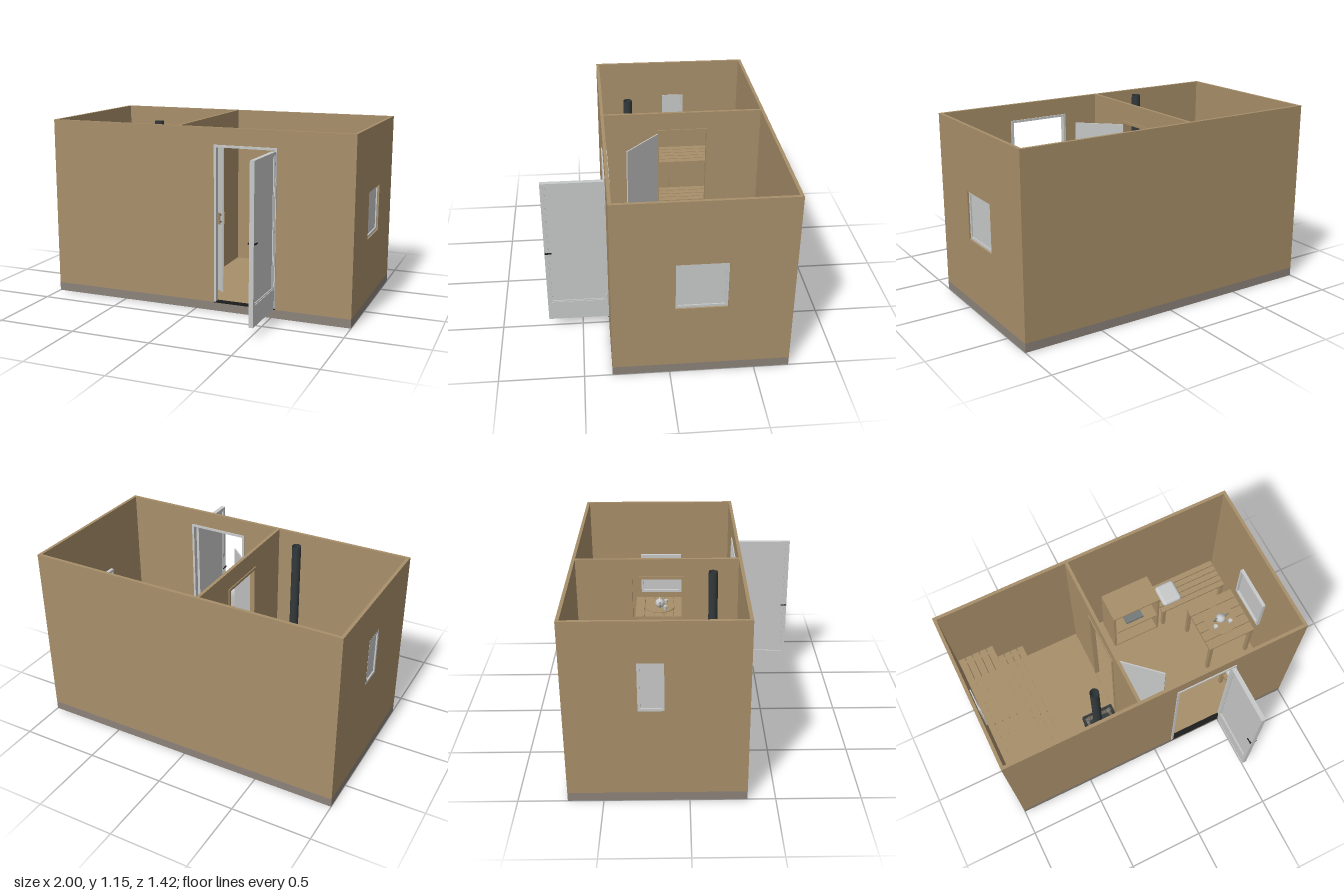
import * as THREE from 'three';
import { RoundedBoxGeometry } from 'three/addons/geometries/RoundedBoxGeometry.js';

const mat = (name, color, side = THREE.FrontSide) => {
  const m = new THREE.MeshStandardMaterial({ color, side });
  m.name = name;
  return m;
};

export function createModel() {
  const wood = mat('wood', 0xa88f6a);
  const concrete = mat('concrete', 0x8c837a);
  const white = mat('paleGrey', 0xc8cac9);
  const dark = mat('darkMetal', 0x33393b);
  const black = mat('black', 0x1c1d1d);
  const stone = mat('stone', 0x6f665a);
  const grey = mat('grey', 0x747b79);
  const root = new THREE.Group();
  root.name = 'saunaCabin';

  const group = (name, parent = root) => {
    const g = new THREE.Group();
    g.name = name;
    parent.add(g);
    return g;
  };
  const add = (parent, name, geo, m, x = 0, y = 0, z = 0) => {
    const mesh = new THREE.Mesh(geo, m);
    mesh.name = name;
    mesh.position.set(x, y, z);
    parent.add(mesh);
    return mesh;
  };
  // box given by its limits on each axis
  const box = (parent, name, m, x0, x1, y0, y1, z0, z1) =>
    add(parent, name, new THREE.BoxGeometry(x1 - x0, y1 - y0, z1 - z0), m,
      (x0 + x1) / 2, (y0 + y1) / 2, (z0 + z1) / 2);
  const cyl = (parent, name, m, r0, r1, h, x, y, z, n = 24) =>
    add(parent, name, new THREE.CylinderGeometry(r0, r1, h, n), m, x, y, z);
  // rectangle [a0, a1, y0, y1] with an optional rectangular hole, extruded
  const panel = ([a0, a1, y0, y1], hole, depth) => {
    const pts = (l, r, b, t) => [[l, b], [r, b], [r, t], [l, t]].map(p => new THREE.Vector2(...p));
    const s = new THREE.Shape(pts(a0, a1, y0, y1));
    if (hole) s.holes.push(new THREE.Path(pts(...hole)));
    return new THREE.ExtrudeGeometry(s, { depth, bevelEnabled: false });
  };
  // panel in the z-y plane filling x0..x1
  const sidePanel = (parent, name, m, x0, x1, rect, hole) =>
    add(parent, name, panel(rect, hole, x1 - x0).rotateY(-Math.PI / 2), m, x1);

  const F = 0.06, T = 1.155, B = 0.055;

  // Shell
  const shell = group('shell');
  box(shell, 'foundation', concrete, -1, 1, 0, B, -0.71, 0.335);
  box(shell, 'floor', wood, -0.98, 0.98, B, F, -0.69, 0.315);
  box(shell, 'backWall', wood, -1, 1, B, T, -0.71, -0.69);
  add(shell, 'frontWall', panel([-1, 1, B, T], [0.13, 0.52, B + 0.001, 1.045], 0.02), wood, 0, 0, 0.315);
  sidePanel(shell, 'leftWall', wood, 0.98, 1, [-0.69, 0.315, B, T], [-0.33, -0.03, 0.455, 0.755]);
  sidePanel(shell, 'rightWall', wood, -1, -0.98, [-0.69, 0.315, B, T], [-0.29, -0.14, 0.605, 0.905]);
  sidePanel(shell, 'partition', wood, -0.13, -0.11, [-0.69, 0.315, B, T], [-0.355, -0.025, F, 1.035]);

  // Windows
  const windowUnit = (name, x0, x1, xp, [z0, z1, y0, y1]) => {
    const g = group(name), w = 0.016;
    const inner = [z0 + w, z1 - w, y0 + w, y1 - w];
    sidePanel(g, 'windowFrame', white, x0, x1, [z0, z1, y0, y1], inner);
    sidePanel(g, 'windowPane', white, xp - 0.004, xp + 0.004, inner);
  };
  windowUnit('largeWindow', 0.957, 0.99, 0.978, [-0.33, -0.03, 0.455, 0.755]);
  windowUnit('smallWindow', -1.001, -0.973, -0.988, [-0.29, -0.14, 0.605, 0.905]);

  // Entrance: frame, threshold and a leaf standing open
  const entry = group('entrance');
  for (const x of [0.125, 0.51]) box(entry, 'doorJamb', white, x, x + 0.015, F, 1.05, 0.308, 0.342);
  box(entry, 'doorHead', white, 0.14, 0.51, 1.035, 1.05, 0.308, 0.342);
  box(entry, 'threshold', black, 0.125, 0.525, B, 0.064, 0.308, 0.342);
  const leaf = group('openDoor', entry);
  sidePanel(leaf, 'doorLeaf', white, 0.492, 0.52, [0.34, 0.71, 0.062, 1.03], [0.352, 0.69, 0.19, 1.01]);
  sidePanel(leaf, 'doorBead', white, 0.496, 0.516, [0.352, 0.69, 0.19, 1.01], [0.36, 0.682, 0.198, 1.002]);
  sidePanel(leaf, 'doorPane', white, 0.502, 0.51, [0.36, 0.682, 0.198, 1.002]);
  for (const x of [0.486, 0.526]) {
    box(leaf, 'doorHandle', black, x - 0.003, x + 0.003, 0.552, 0.559, 0.667, 0.708);
    box(leaf, 'handleStem', black, Math.min(x, 0.506), Math.max(x, 0.506), 0.551, 0.56, 0.696, 0.705);
  }
  for (const y of [0.22, 0.86]) cyl(leaf, 'hinge', white, 0.005, 0.005, 0.03, 0.522, y, 0.345, 10);

  // Inner doorway with timber lining and a pane swung open
  const inner = group('innerDoor');
  sidePanel(inner, 'timberLining', wood, -0.136, -0.104, [-0.36, -0.02, F, 1.04], [-0.343, -0.037, F + 0.008, 1.023]);
  const swing = group('innerDoorLeaf', inner);
  swing.position.set(-0.108, 0, -0.028);
  swing.rotation.y = -0.74;
  box(swing, 'innerDoorPane', white, 0, 0.315, 0.075, 1.015, -0.004, 0.004);
  for (const s of [-1, 1]) {
    box(swing, 'pullHandle', wood, 0.283, 0.297, 0.52, 0.595, s * 0.016 - 0.005, s * 0.016 + 0.005);
    for (const y of [0.535, 0.58]) box(swing, 'pullMount', black, 0.286, 0.294, y - 0.004, y + 0.004, s * 0.008 - 0.005, s * 0.008 + 0.005);
  }

  // Two-tier slatted sauna benches
  const tiers = group('saunaBenches');
  const tier = (name, x0, x1, top, n) => {
    const g = group(name, tiers), w = (x1 - x0) / n;
    for (let i = 0; i < n; i++)
      box(g, 'benchSlat', wood, x0 + i * w + 0.003, x0 + (i + 1) * w - 0.003, top - 0.015, top, -0.688, 0.313);
    for (const z of [-0.66, -0.19, 0.28]) {
      box(g, 'benchBearer', wood, x0 + 0.01, x1 - 0.01, top - 0.045, top - 0.015, z - 0.012, z + 0.012);
      for (const x of [x0 + 0.01, x1 - 0.03]) box(g, 'benchLeg', wood, x, x + 0.02, F, top - 0.045, z - 0.012, z + 0.012);
    }
    box(g, 'benchFascia', wood, x1 - 0.01, x1 - 0.004, top - 0.045, top - 0.016, -0.688, 0.313);
  };
  tier('upperBench', -0.978, -0.725, 0.48, 5);
  tier('lowerBench', -0.725, -0.53, 0.27, 4);

  // Stove fed through the partition, with stones around the core
  const stove = group('stove');
  box(stove, 'stoveBody', dark, -0.39, -0.19, 0.09, 0.36, 0.035, 0.26);
  for (const x of [-0.38, -0.22]) for (const z of [0.045, 0.23]) box(stove, 'stoveFoot', dark, x, x + 0.02, F, 0.09, z, z + 0.02);
  for (const z of [0.03, 0.253]) box(stove, 'stoveRim', dark, -0.395, -0.185, 0.36, 0.44, z, z + 0.012);
  for (const x of [-0.395, -0.197]) box(stove, 'stoveRim', dark, x, x + 0.012, 0.36, 0.44, 0.042, 0.253);
  box(stove, 'stoveCore', dark, -0.365, -0.235, 0.36, 0.435, 0.08, 0.225);
  box(stove, 'fireTunnel', dark, -0.19, -0.1, 0.12, 0.3, 0.08, 0.215);
  box(stove, 'fireDoor', dark, -0.1, -0.085, 0.11, 0.31, 0.078, 0.218);
  box(stove, 'fireDoorHandle', black, -0.085, -0.07, 0.2, 0.21, 0.09, 0.13);
  add(stove, 'chimney', new THREE.CylinderGeometry(0.028, 0.028, T - 0.43, 24, 1, true),
    mat('chimneyMetal', 0x33393b, THREE.DoubleSide), -0.33, (T + 0.43) / 2, 0.15);
  let seed = 7;
  const rnd = () => (seed = (seed * 16807) % 2147483647) / 2147483647;
  for (let i = 0; i < 44; i++) {
    const side = i % 4, t = Math.floor(i / 4) / 10;
    const x = side < 2 ? -0.37 + 0.16 * t : side === 2 ? -0.373 : -0.215;
    const z = side < 2 ? (side ? 0.238 : 0.058) : 0.06 + 0.175 * t;
    const s = add(stove, 'stoveStone', new THREE.IcosahedronGeometry(0.013 + 0.005 * rnd(), 0),
      i % 3 ? stone : grey, x, 0.425 + 0.012 * rnd(), z);
    s.rotation.set(rnd() * 3, rnd() * 3, rnd() * 3);
  }

  // Small firewood crate beside the partition
  const crate = group('firewoodCrate');
  box(crate, 'crateBase', black, -0.08, 0.01, F, 0.14, 0.252, 0.303);
  for (let i = 0; i < 3; i++) box(crate, 'firewood', wood, -0.072 + i * 0.028, -0.054 + i * 0.028, 0.14, 0.155, 0.257, 0.298);

  // Slatted tops on four legs, used for the table and seats
  const slatted = (name, x0, x1, z0, z1, top, n) => {
    const g = group(name), w = (z1 - z0) / n;
    for (let i = 0; i < n; i++)
      box(g, 'slat', wood, x0, x1, top - 0.015, top, z0 + i * w + 0.003, z0 + (i + 1) * w - 0.003);
    for (const x of [x0 + 0.005, x1 - 0.03]) {
      box(g, 'crossRail', wood, x, x + 0.025, top - 0.045, top - 0.015, z0 + 0.01, z1 - 0.01);
      for (const z of [z0 + 0.005, z1 - 0.03]) box(g, 'leg', wood, x, x + 0.025, F, top - 0.015, z, z + 0.025);
    }
    return g;
  };
  const pillow = (g, x, y, z, w, d) =>
    add(g, 'pillow', new RoundedBoxGeometry(w, 0.05, d, 4, 0.024), white, x, y + 0.025, z);
  pillow(slatted('longSeat', 0.465, 0.965, -0.69, -0.47, 0.28, 5), 0.563, 0.28, -0.58, 0.145, 0.16);
  pillow(slatted('shortSeat', 0.625, 0.975, 0.09, 0.31, 0.28, 5), 0.695, 0.28, 0.2, 0.1, 0.16);

  // Table with round mat, teapot and cups
  const table = slatted('table', 0.595, 0.94, -0.37, -0.02, 0.42, 5);
  cyl(table, 'tableMat', wood, 0.11, 0.11, 0.006, 0.765, 0.423, -0.19, 40);
  const profile = [[0, 0], [0.024, 0], [0.034, 0.02], [0.03, 0.045], [0.014, 0.056], [0.006, 0.06], [0.007, 0.07], [0, 0.073]];
  add(table, 'teapot', new THREE.LatheGeometry(profile.map(p => new THREE.Vector2(...p)), 24), white, 0.765, 0.426, -0.19);
  add(table, 'teapotHandle', new THREE.TorusGeometry(0.018, 0.004, 8, 16), grey, 0.732, 0.452, -0.19);
  cyl(table, 'teapotSpout', grey, 0.004, 0.007, 0.045, 0.805, 0.46, -0.19, 10).rotation.z = -0.8;
  for (const [x, z] of [[0.705, -0.15], [0.815, -0.145]]) cyl(table, 'cup', white, 0.015, 0.011, 0.028, x, 0.44, z, 16);

  // Open shelf against the back wall
  const shelf = group('shelfUnit');
  for (const top of [0.525, 0.288, 0.08]) box(shelf, 'shelfBoard', wood, 0.085, 0.435, top - 0.013, top, -0.67, -0.47);
  for (const x of [0.085, 0.42]) box(shelf, 'shelfSide', wood, x, x + 0.015, F, 0.512, -0.668, -0.472);
  box(shelf, 'tray', grey, 0.195, 0.325, 0.288, 0.308, -0.62, -0.5);

  return root;
}
